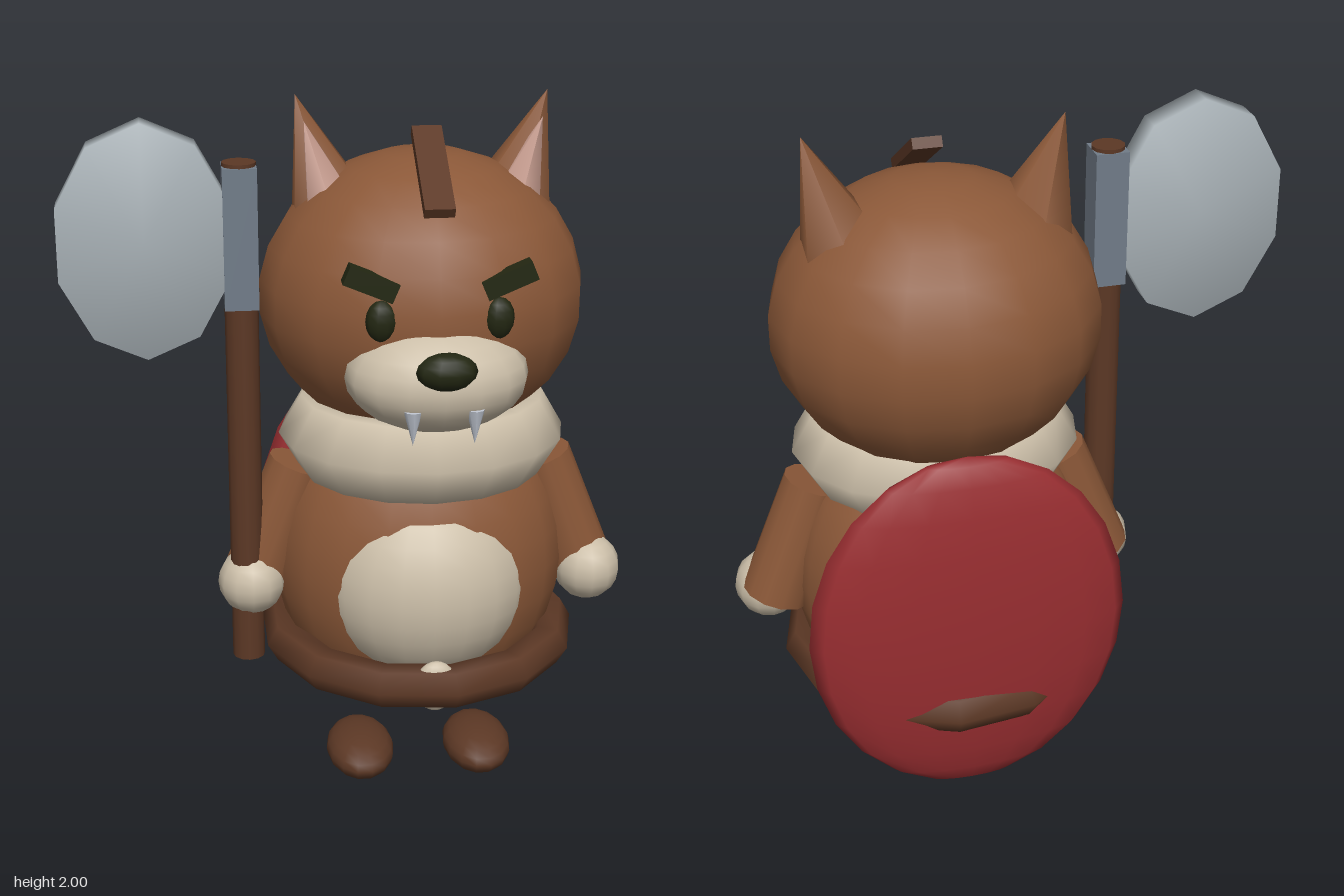
import * as THREE from 'three';
import { mergeVertices } from 'three/addons/utils/BufferGeometryUtils.js';

const mat = (name, color) => {
  const m = new THREE.MeshStandardMaterial({ color });
  m.name = name;
  return m;
};

export function createModel() {
  const fur = mat('fur brown', 0x8b5838);
  const dark = mat('dark brown', 0x5c3825);
  const cream = mat('cream', 0xcbbea8);
  const red = mat('shield red', 0x972d30);
  const steel = mat('blade grey', 0xa9b2b7);
  const iron = mat('socket grey', 0x717c88);
  const fangWhite = mat('fang white', 0xc3c9d4);
  const pink = mat('inner ear pink', 0xc59a8c);
  const black = mat('dark olive', 0x232712);

  const root = new THREE.Group();
  root.name = 'axeBear';
  // The character stands off-centre to leave room for the axe
  const figure = new THREE.Group();
  figure.name = 'figure';
  figure.position.x = 0.2;
  const axe = new THREE.Group();
  axe.name = 'axe';
  axe.position.set(-0.3, 0, 0.05);
  root.add(figure, axe);

  const add = (parent, name, geometry, material, x, y, z) => {
    const m = new THREE.Mesh(geometry, material);
    m.name = name;
    m.position.set(x, y, z);
    parent.add(m);
    return m;
  };
  // Ellipsoid from centre and radii
  const blob = (name, material, [x, y, z], [rx, ry, rz], w = 16, h = 12) => {
    const m = add(figure, name, new THREE.SphereGeometry(1, w, h), material, x, y, z);
    m.scale.set(rx, ry, rz);
    return m;
  };
  // Horizontal ring, stretched along z
  const ring = (name, material, y, z, radius, tube, segments, stretch) => {
    const g = new THREE.TorusGeometry(radius, tube, 6, segments).rotateX(-Math.PI / 2).scale(1, 1, stretch);
    return add(figure, name, g, material, 0, y, z);
  };

  // Torso
  blob('body', fur, [0, 0.685, -0.035], [0.42, 0.48, 0.335], 20, 16);
  blob('bellyPatch', cream, [0, 0.66, 0.1], [0.3, 0.3, 0.255], 20, 16);
  ring('collar', cream, 1.068, 0, 0.275, 0.127, 16, 0.88);
  ring('belt', dark, 0.44, -0.035, 0.4, 0.06, 13, 1.02);
  blob('buckle', cream, [0, 0.44, 0.365], [0.06, 0.075, 0.03]);
  blob('shield', red, [0, 0.675, -0.375], [0.44, 0.53, 0.094], 16, 12);

  // Head and face
  blob('head', fur, [0, 1.455, -0.04], [0.45, 0.402, 0.408], 16, 13);
  blob('snout', cream, [0, 1.322, 0.28], [0.245, 0.148, 0.18]);
  blob('nose', black, [0, 1.39, 0.457], [0.08, 0.05, 0.046], 10, 8);
  const crest = add(figure, 'crest', new THREE.BoxGeometry(0.08, 0.03, 0.315), dark, 0, 1.838, 0.153);
  crest.rotation.x = 0.53;

  // Paired parts, s = +1 for the model's left
  for (const s of [1, -1]) {
    const side = s > 0 ? 'left' : 'right';

    blob(side + 'Eye', black, [s * 0.153, 1.488, 0.325], [0.042, 0.057, 0.032], 10, 8);
    const brow = add(figure, side + 'Brow', new THREE.BoxGeometry(0.14, 0.052, 0.045), black, s * 0.18, 1.588, 0.315);
    brow.rotation.z = s * 0.4;
    const fang = add(figure, side + 'Fang', new THREE.ConeGeometry(0.025, 0.095, 8), fangWhite, s * 0.081, 1.228, 0.425);
    fang.rotation.x = Math.PI;

    // Ears lean outward
    const ear = new THREE.Group();
    ear.name = side + 'Ear';
    ear.position.set(s * 0.252, 1.712, -0.075);
    ear.rotation.z = -s * 0.3;
    figure.add(ear);
    add(ear, 'earShell', new THREE.ConeGeometry(0.116, 0.302, 6), fur, 0, 0.151, 0);
    add(ear, 'innerEar', new THREE.ConeGeometry(0.075, 0.235, 6), pink, 0, 0.118, 0.05);

    const arm = add(figure, side + 'Arm', new THREE.CylinderGeometry(0.086, 0.098, 0.37, 12), fur,
      s * 0.41, 0.8, -0.007);
    arm.rotation.z = s * 0.35;
    blob(side + 'Hand', cream, [s * 0.487, 0.632, 0.035], [0.096, 0.097, 0.097], 12, 10);
    blob(side + 'Foot', dark, [s * 0.175, 0.068, 0.04], [0.1, 0.065, 0.155], 14, 10);
  }

  // Axe: shaft, socket and a ten-sided blade with softened rim
  add(axe, 'shaft', new THREE.CylinderGeometry(0.046, 0.046, 1.445, 12), dark, 0, 1.128, 0);
  add(axe, 'socket', new THREE.BoxGeometry(0.092, 0.385, 0.092), iron, 0, 1.648, 0);
  let disc = new THREE.CylinderGeometry(1, 1, 0.082, 10).rotateX(-Math.PI / 2).scale(0.24, 0.32, 1);
  disc.deleteAttribute('normal');
  disc.deleteAttribute('uv');
  disc = mergeVertices(disc, 1e-4);
  disc.computeVertexNormals();
  add(axe, 'blade', disc, steel, -0.255, 1.645, 0.002);

  return root;
}
